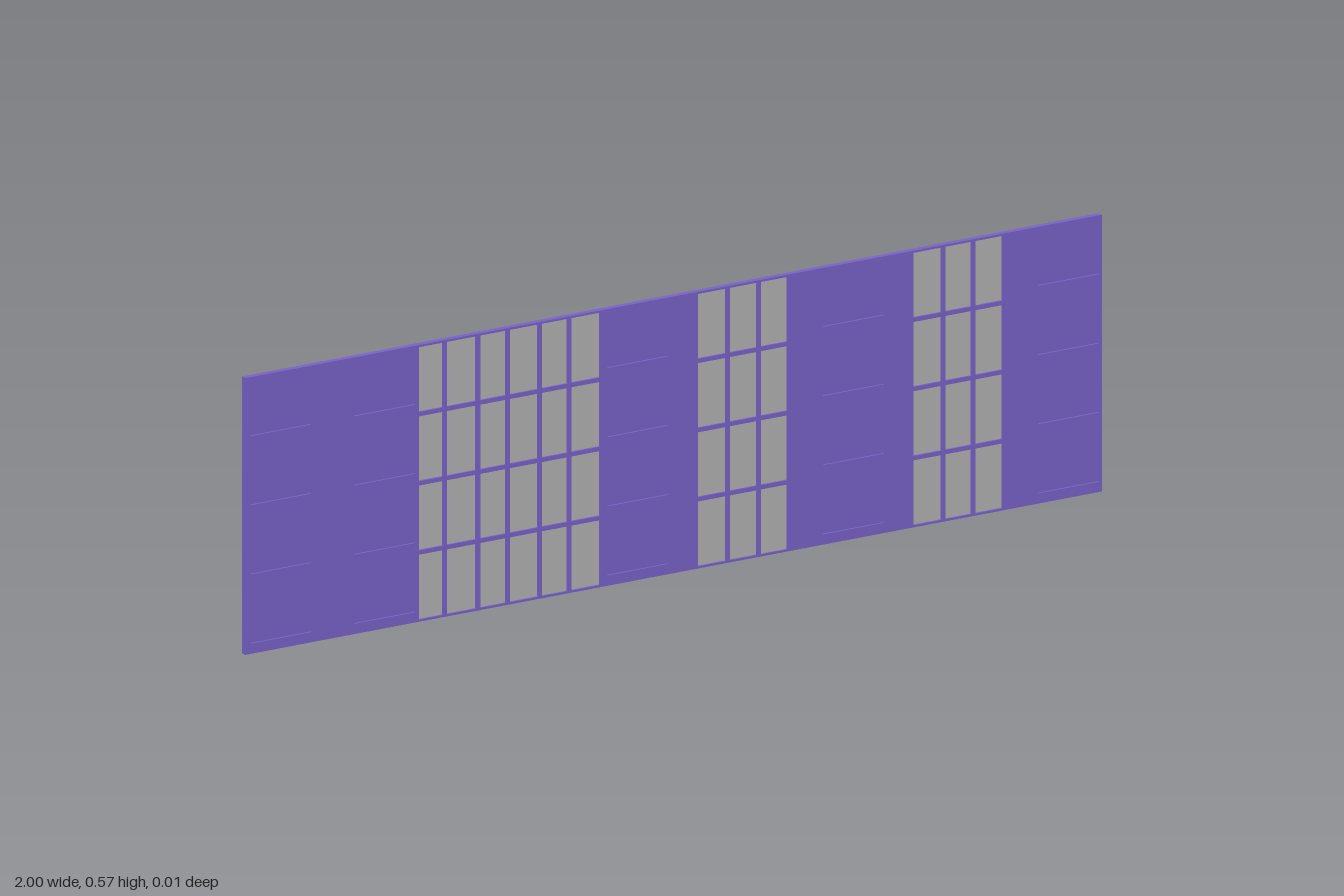
import * as THREE from 'three';

const WIDTH = 2, HEIGHT = 0.573, DEPTH = 0.0126, ROW = HEIGHT / 4, BAR = 0.009;

// Column edges of each glazed bay, and the centres of the recessed panel columns
const bays = [
  [-0.595, -0.534, -0.456, -0.387, -0.312, -0.243, -0.172],
  [0.057, 0.127, 0.199, 0.266],
  [0.56, 0.63, 0.7, 0.768],
];
const panelCentres = [-0.917, -0.674, -0.083, 0.42, 0.922];
const PANEL_W = 0.143, PANEL_H = 0.11;

function rectPath(x0, x1, y0, y1) {
  const p = new THREE.Path();
  p.moveTo(x0, y0);
  p.lineTo(x0, y1);
  p.lineTo(x1, y1);
  p.lineTo(x1, y0);
  p.closePath();
  return p;
}

export function createModel() {
  const group = new THREE.Group();
  group.name = 'facadePanel';
  const wallMat = new THREE.MeshStandardMaterial({ color: 0x7862c8 });
  const glassMat = new THREE.MeshStandardMaterial({ color: 0xb2b2b2 });

  const shape = new THREE.Shape();
  shape.moveTo(-WIDTH / 2, 0);
  shape.lineTo(WIDTH / 2, 0);
  shape.lineTo(WIDTH / 2, HEIGHT);
  shape.lineTo(-WIDTH / 2, HEIGHT);
  shape.closePath();

  // Cuts an opening through the wall and fills it with a thin set-back sheet
  function opening(name, x0, x1, y0, y1, material) {
    shape.holes.push(rectPath(x0, x1, y0, y1));
    const sheet = new THREE.Mesh(new THREE.BoxGeometry(x1 - x0, y1 - y0, DEPTH * 0.3), material);
    sheet.position.set((x0 + x1) / 2, (y0 + y1) / 2, 0);
    sheet.name = name;
    group.add(sheet);
  }

  for (let row = 0; row < 4; row++) {
    const y = row * ROW;
    // Window panes between the mullions
    for (const edges of bays) {
      for (let i = 0; i < edges.length - 1; i++) {
        const left = edges[i] + (i > 0 ? BAR / 2 : 0);
        const right = edges[i + 1] - (i < edges.length - 2 ? BAR / 2 : 0);
        opening('windowPane', left, right, y + BAR / 2, y + ROW - BAR / 2, glassMat);
      }
    }
    // Recessed solid panels
    for (const x of panelCentres) {
      const top = y + ROW - 0.012;
      opening('recessedPanel', x - PANEL_W / 2, x + PANEL_W / 2, top - PANEL_H, top, wallMat);
    }
  }

  // Wall slab with all openings
  const wallGeo = new THREE.ExtrudeGeometry(shape, { depth: DEPTH, bevelEnabled: false });
  wallGeo.translate(0, 0, -DEPTH / 2);
  const wall = new THREE.Mesh(wallGeo, wallMat);
  wall.name = 'wall';
  group.add(wall);
  return group;
}
